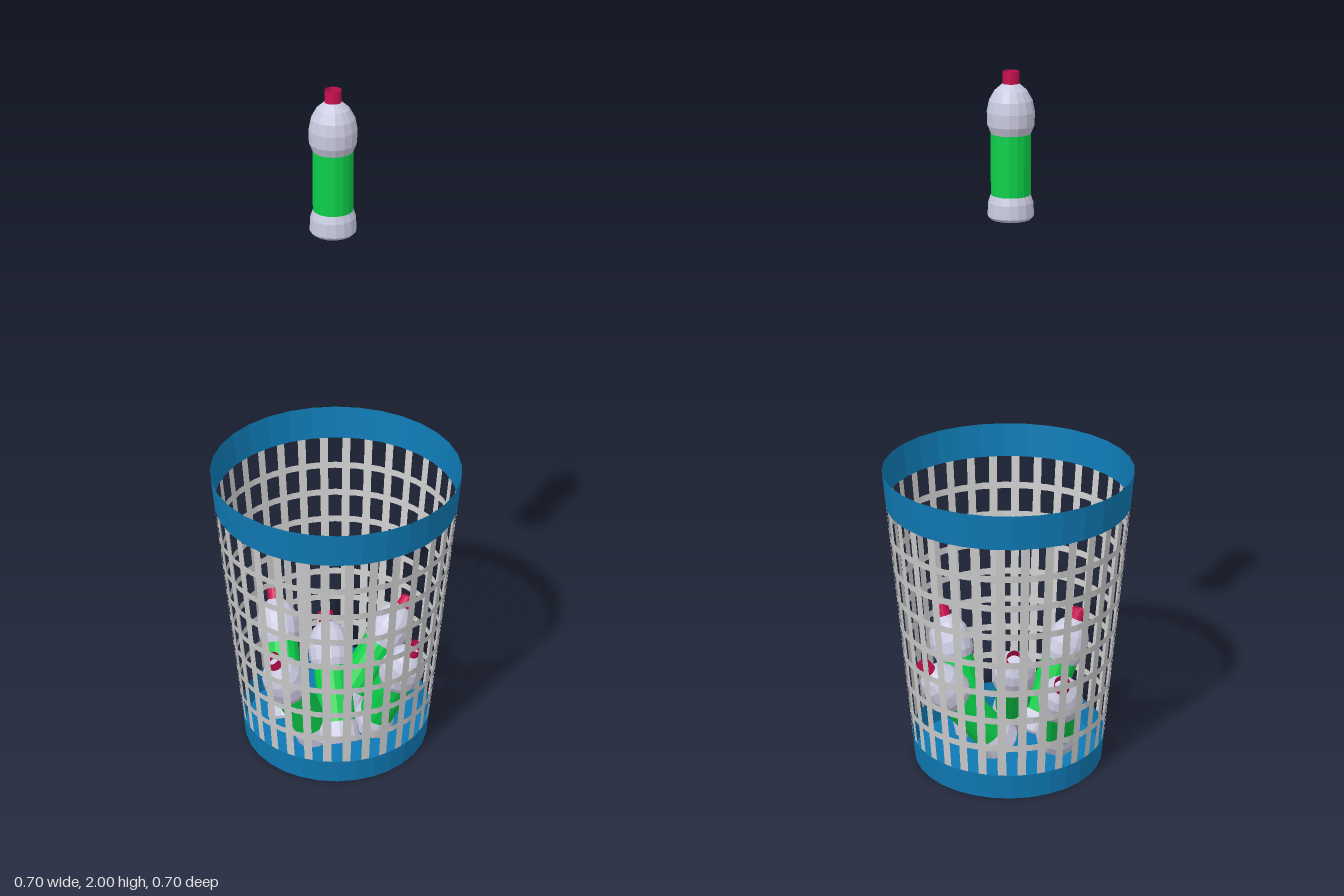
import * as THREE from 'three';
import { mergeGeometries } from 'three/addons/utils/BufferGeometryUtils.js';

const SIDES = 32;
const STEP = (Math.PI * 2) / SIDES;
const HEIGHT = 0.895;

const paint = (color) => new THREE.MeshStandardMaterial({ color, flatShading: true, side: THREE.DoubleSide });
const blue = paint(0x0f7ab5);
const grey = paint(0xcccccc);
const plastic = paint(0xcacae0);
const green = paint(0x0cd04a);
const red = paint(0xc8104f);

// Basket wall radius at a given height
const wallRadius = (y) => 0.275 + (0.353 - 0.275) * (y / HEIGHT);

function part(name, geometry, material, parent) {
  const mesh = new THREE.Mesh(geometry, material);
  mesh.name = name;
  parent.add(mesh);
  return mesh;
}

// Open conical band of the wall between two heights
function band(y0, y1) {
  const g = new THREE.CylinderGeometry(wallRadius(y1), wallRadius(y0), y1 - y0, SIDES, 1, true, STEP / 2);
  return g.translate(0, (y0 + y1) / 2, 0);
}

// Upright strip lying flat on one facet of the wall
function slat(i, y0, y1, width) {
  const g = new THREE.PlaneGeometry(width, y1 - y0);
  const p = g.attributes.position;
  const mid = (y0 + y1) / 2;
  for (let k = 0; k < p.count; k++) {
    const y = p.getY(k) + mid;
    p.setXYZ(k, p.getX(k), y, wallRadius(y) * Math.cos(STEP / 2) + 0.0005);
  }
  return g.rotateY(i * STEP);
}

function createBasket() {
  const basket = new THREE.Group();
  basket.name = 'basket';
  const baseTop = 0.077, rimBottom = 0.795;

  part('rim', band(rimBottom, HEIGHT), blue, basket);
  part('baseWall', band(0, baseTop), blue, basket);
  const floor = new THREE.CircleGeometry(wallRadius(0), SIDES, STEP / 2).rotateX(-Math.PI / 2);
  part('floor', floor, blue, basket);

  // Lattice: upright slats and level hoops
  const slats = [];
  for (let i = 0; i < SIDES; i++) slats.push(slat(i, baseTop, rimBottom, 0.024));
  part('slats', mergeGeometries(slats), grey, basket);
  const hoops = [];
  for (let i = 1; i < 8; i++) {
    const y = baseTop + ((rimBottom - baseTop) * i) / 8;
    hoops.push(band(y - 0.01, y + 0.01));
  }
  part('hoops', mergeGeometries(hoops), grey, basket);
  return basket;
}

const BOTTLE_SIDES = 16;
const lathe = (points) =>
  new THREE.LatheGeometry(points.map(([r, y]) => new THREE.Vector2(r, y)), BOTTLE_SIDES);

const bottomGeometry = lathe([[0, 0], [0.055, 0], [0.062, 0.008], [0.06, 0.045], [0.053, 0.065]]);
const labelGeometry = lathe([[0.053, 0.065], [0.053, 0.228]]);
const shoulderGeometry = lathe([
  [0.053, 0.228], [0.062, 0.25], [0.063, 0.285], [0.057, 0.315], [0.043, 0.34], [0.021, 0.359], [0, 0.359],
]);
const capGeometry = lathe([[0.022, 0.357], [0.022, 0.39]]);

// Bottle standing at base, with its axis pointing towards tip
function createBottle(name, base, tip) {
  const bottle = new THREE.Group();
  bottle.name = name;
  part('bottleBottom', bottomGeometry, plastic, bottle);
  part('label', labelGeometry, green, bottle);
  part('shoulder', shoulderGeometry, plastic, bottle);
  part('capRing', capGeometry, red, bottle);
  const from = new THREE.Vector3(...base);
  const axis = new THREE.Vector3(...tip).sub(from).normalize();
  bottle.position.copy(from);
  bottle.quaternion.setFromUnitVectors(new THREE.Vector3(0, 1, 0), axis);
  return bottle;
}

export function createModel() {
  const model = new THREE.Group();
  model.name = 'bottleBasket';
  model.add(createBasket());

  // Bottles leaning inside the basket, and one dropping in
  const bottles = [
    ['leftLeaningBottle', [-0.092, 0.04, 0.11], [-0.277, 0.345, -0.045]],
    ['backBottle', [-0.01, 0.04, -0.035], [0.068, 0.345, -0.265]],
    ['rightLeaningBottle', [0.105, 0.03, -0.033], [0.265, 0.385, -0.034]],
    ['frontBottle', [0.005, 0.03, 0.1], [-0.02, 0.385, 0.268]],
    ['middleBottle', [0.102, 0.04, 0.108], [-0.077, 0.345, -0.045]],
    ['fallingBottle', [-0.01, 1.61, 0], [-0.01, 2, 0]],
  ];
  for (const [name, base, tip] of bottles) model.add(createBottle(name, base, tip));
  return model;
}
